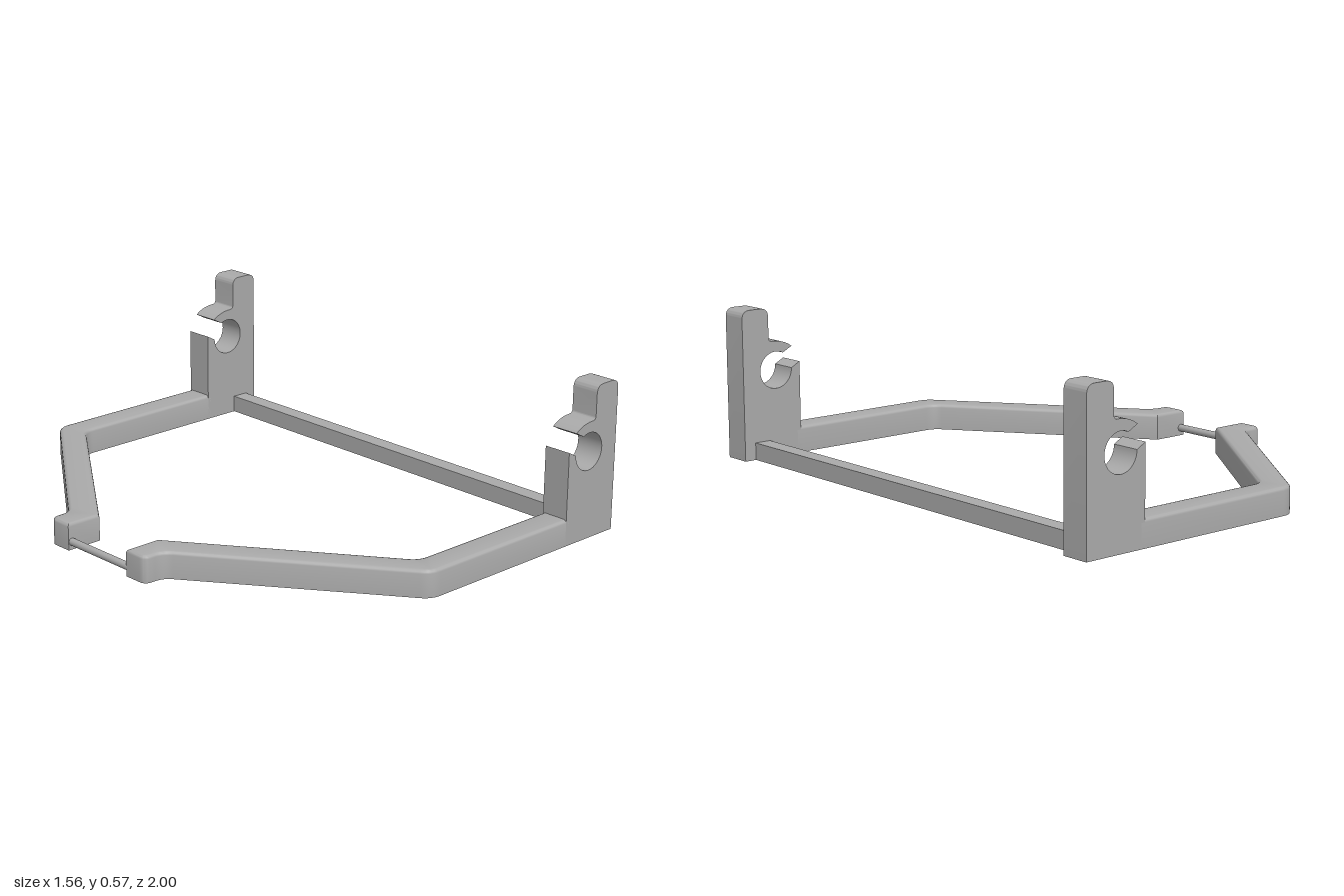
import * as THREE from 'three';
import { toCreasedNormals } from 'three/addons/utils/BufferGeometryUtils.js';

// Closed shape from [x, y, cut] corners; cut rounds the corner.
function roundedShape(points) {
  const shape = new THREE.Shape();
  points.forEach(([x, y, cut = 0], i) => {
    const n = points.length;
    const corner = new THREE.Vector2(x, y);
    const toward = (p) => new THREE.Vector2(p[0], p[1]).sub(corner).setLength(cut).add(corner);
    const a = toward(points[(i + n - 1) % n]);
    const b = toward(points[(i + 1) % n]);
    if (i === 0) shape.moveTo(a.x, a.y);
    else shape.lineTo(a.x, a.y);
    if (cut) shape.quadraticCurveTo(x, y, b.x, b.y);
  });
  shape.closePath();
  return shape;
}

// Cranked side arm with a softened top edge and a flat underside.
function armGeometry(side) {
  const bevel = 0.013;
  const outline = [
    [0.54, 1], [-0.158, 1, 0.04], [-0.7, 0.257, 0.035], [-0.78, 0.257, 0.03],
    [-0.78, 0.158], [-0.64, 0.158], [-0.112, 0.893, 0.035], [0.54, 0.893],
  ].map(([x, z, cut]) => [x, -side * z, cut]);
  const geo = new THREE.ExtrudeGeometry(roundedShape(outline), {
    depth: 0.1 - bevel, bevelThickness: bevel, bevelSize: bevel,
    bevelOffset: -bevel, bevelSegments: 3, curveSegments: 6,
  });
  geo.rotateX(-Math.PI / 2);
  const pos = geo.attributes.position;
  for (let i = 0; i < pos.count; i++) pos.setY(i, Math.max(0, pos.getY(i)));
  return toCreasedNormals(geo, 0.6);
}

// Upright plate with a round snap-in socket opening toward -x.
function uprightGeometry() {
  const cx = 0.632, cy = 0.33, r = 0.07;
  const s = new THREE.Shape();
  s.moveTo(0.525, 0);
  s.lineTo(0.777, 0);
  s.lineTo(0.777, 0.533);
  s.quadraticCurveTo(0.777, 0.567, 0.743, 0.567);
  s.lineTo(0.695, 0.567);
  s.quadraticCurveTo(0.662, 0.567, 0.662, 0.533);
  s.lineTo(0.662, 0.455);
  s.quadraticCurveTo(0.662, 0.44, 0.645, 0.44);
  s.quadraticCurveTo(0.595, 0.44, 0.56, 0.413);
  s.lineTo(cx + r * Math.cos(2.05), cy + r * Math.sin(2.05));
  s.absarc(cx, cy, r, 2.05, -Math.PI, true);
  s.lineTo(0.525, 0.35);
  s.closePath();
  const geo = new THREE.ExtrudeGeometry(s, { depth: 0.107, bevelEnabled: false, curveSegments: 20 });
  return toCreasedNormals(geo, 0.5);
}

export function createModel() {
  const grey = new THREE.MeshStandardMaterial({ color: 0xaaaaaa });
  grey.name = 'plain grey';
  const model = new THREE.Group();
  model.name = 'cradleFrame';

  const add = (name, geometry, x = 0, y = 0, z = 0) => {
    const mesh = new THREE.Mesh(geometry, grey);
    mesh.name = name;
    mesh.position.set(x, y, z);
    model.add(mesh);
  };

  // Mirrored arms and uprights
  for (const side of [1, -1]) {
    const label = side > 0 ? 'front' : 'back';
    add(label + 'Arm', armGeometry(side));
    add(label + 'Upright', uprightGeometry(), 0, 0, side > 0 ? 0.893 : -1);
  }

  // Bar joining the uprights
  add('crossBar', new THREE.BoxGeometry(0.064, 0.065, 1.79), 0.699, 0.0325, 0);

  // Thin rod joining the narrow ends of the arms
  const rod = new THREE.CylinderGeometry(0.014, 0.014, 0.33, 16).rotateX(Math.PI / 2);
  add('endRod', rod, -0.765, 0.03, 0);

  return model;
}
